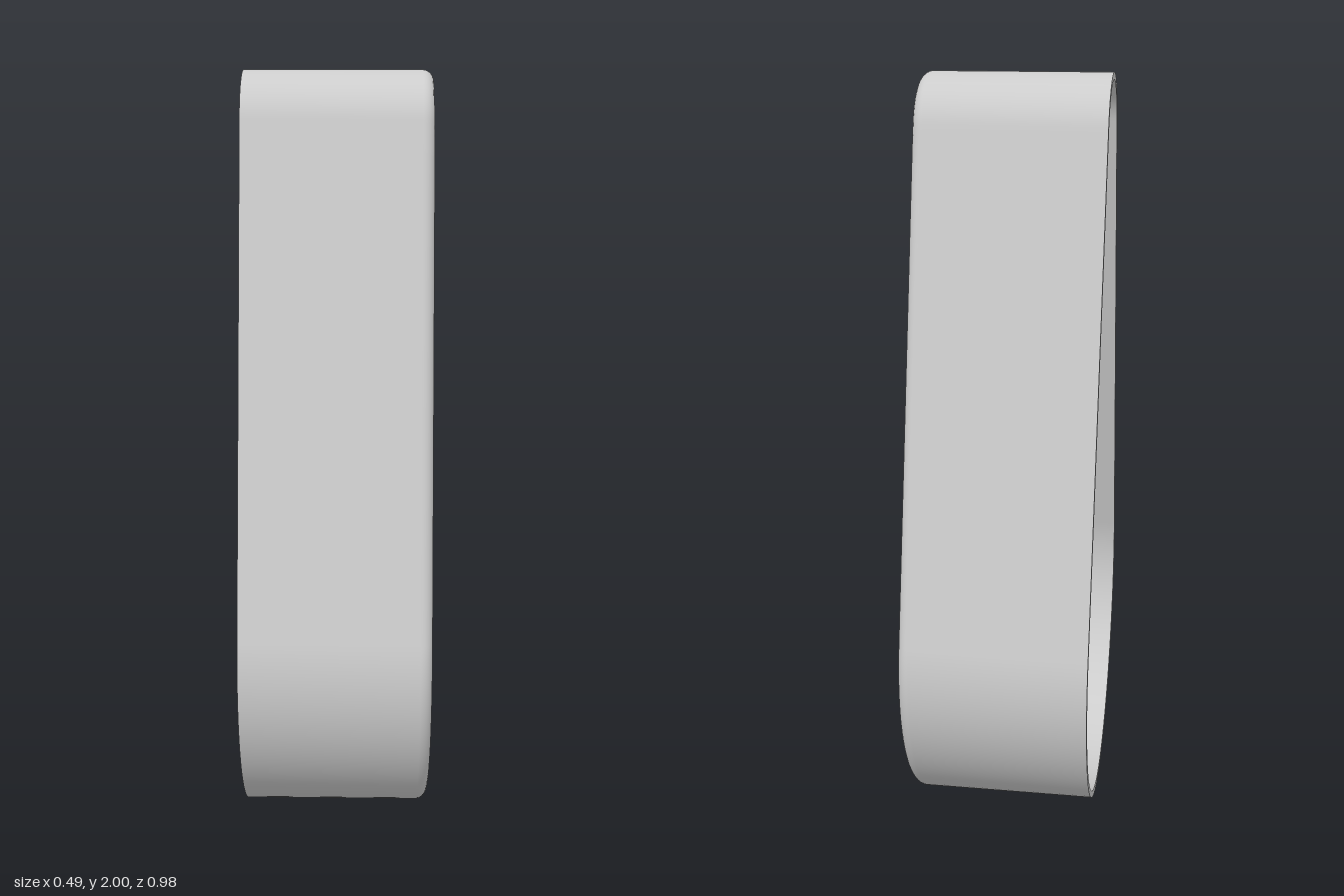
import * as THREE from 'three';

// Tapered link cover: plate on +x with two holes, skirt wall open towards -x.
const X = 0.244;                       // half depth
const R = 0.49, r = 0.16;              // big and small end radii
const C1 = 0.49, C2 = 1.84;            // heights of the end centres
const PHI = Math.asin((R - r) / (C2 - C1));
const FILLET = 0.03, WALL = 0.018, PLATE = 0.03, RIDGE = 0.145;
const HOLES = [
  { name: 'largeHole', y: C1, rad: 0.255, f: 0.022 },
  { name: 'smallHole', y: C2, rad: 0.13, f: 0.014 },
];

// Outline inset by d, counter-clockwise in (u = -z, v = y)
function outline(d) {
  const pts = [];
  const arc = (cy, rad, a0, a1, n) => {
    for (let i = 0; i <= n; i++) {
      const a = a0 + (a1 - a0) * i / n;
      pts.push(new THREE.Vector2(rad * Math.cos(a), cy + rad * Math.sin(a)));
    }
  };
  const side = (sign) => {             // points along the flank near the small end
    const a = sign > 0 ? PHI : Math.PI - PHI, list = [];
    for (let i = 1; i <= 7; i++) {
      const s = i * 0.0125;
      list.push(new THREE.Vector2(
        (r - d) * Math.cos(a) + sign * s * Math.sin(PHI),
        C2 + (r - d) * Math.sin(a) - s * Math.cos(PHI)));
    }
    return list;
  };
  arc(C2, r - d, PHI, Math.PI - PHI, 36);
  pts.push(...side(-1));
  arc(C1, R - d, Math.PI - PHI, 2 * Math.PI + PHI, 72);
  pts.push(...side(1).reverse());
  return pts;
}

function circle(y, rad, n = 64) {
  return Array.from({ length: n }, (_, i) => {
    const a = i / n * Math.PI * 2;
    return new THREE.Vector2(rad * Math.cos(a), y + rad * Math.sin(a));
  });
}

// Distance of a point from the outer outline
function edgeDistance(p) {
  const u = Math.abs(p.x);
  if (Math.atan2(p.y - C2, u) > PHI) return r - Math.hypot(u, p.y - C2);
  if (Math.atan2(p.y - C1, u) < PHI) return R - Math.hypot(u, p.y - C1);
  return R - u * Math.cos(PHI) - (p.y - C1) * Math.sin(PHI);
}

const drop = (d, f) => d >= f ? 0 : f - Math.sqrt(Math.max(0, f * f - (f - d) ** 2));

// Height of the plate's outer face, rounded at the rim and at the holes
function faceX(p) {
  const drops = HOLES.map((h) => drop(Math.max(0, Math.hypot(p.x, p.y - h.y) - h.rad), h.f));
  return X - Math.max(drop(Math.max(0, edgeDistance(p)), FILLET), ...drops);
}

// Keeps the rim rounding clear of the small hole
function clearOfHole(p) {
  const k = Math.hypot(p.x, p.y - C2);
  if (k < RIDGE) p.set(p.x * RIDGE / k, C2 + (p.y - C2) * RIDGE / k);
  return p;
}

const flatLoop = (pts, x) => pts.map((p) => [x, p.y, -p.x]);
const faceLoop = (pts) => pts.map((p) => [faceX(p), p.y, -p.x]);

// Surface through successive closed loops
function skin(loops) {
  const n = loops[0].length, index = [];
  for (let j = 0; j < loops.length - 1; j++) {
    for (let i = 0; i < n; i++) {
      const a = j * n + i, b = j * n + (i + 1) % n;
      index.push(a, b, b + n, a, b + n, a + n);
    }
  }
  const g = new THREE.BufferGeometry();
  g.setAttribute('position', new THREE.Float32BufferAttribute(loops.flat(2), 3));
  g.setIndex(index);
  g.computeVertexNormals();
  return g;
}

// Flat sheet with holes, facing +x, or -x when flipped
function sheet(outer, holes, xOf, flip) {
  const shape = new THREE.Shape(outer);
  shape.holes = holes.map((h) => new THREE.Path(h));
  const g = new THREE.ShapeGeometry(shape);
  const pos = g.attributes.position, nor = g.attributes.normal;
  for (let i = 0; i < pos.count; i++) {
    const p = new THREE.Vector2(pos.getX(i), pos.getY(i));
    pos.setXYZ(i, xOf(p), p.y, -p.x);
    nor.setXYZ(i, flip ? -1 : 1, 0, 0);
  }
  if (flip) g.index.array.reverse();
  return g;
}

export function createModel() {
  const model = new THREE.Group();
  model.name = 'linkCover';
  const material = new THREE.MeshStandardMaterial({ color: 0xcccccc });
  const add = (name, geometry) => {
    const mesh = new THREE.Mesh(geometry, material);
    mesh.name = name;
    model.add(mesh);
  };
  const STEPS = 10;
  const inset = (i, f) => f * (1 - Math.cos(i / STEPS * Math.PI / 2));

  // Outer wall with rounded rim
  const wall = [flatLoop(outline(0), -X), flatLoop(outline(0), X - FILLET)];
  for (let i = 1; i <= STEPS; i++) {
    wall.push(faceLoop(outline(inset(i, FILLET)).map(clearOfHole)));
  }
  add('outerWall', skin(wall));

  // Plate, outside and inside
  add('plateFace', sheet(outline(FILLET).map(clearOfHole),
    HOLES.map((h) => circle(h.y, h.rad + h.f)), faceX, false));
  add('plateInside', sheet(outline(WALL),
    HOLES.map((h) => circle(h.y, h.rad)), () => X - PLATE, true));

  // Rounded hole edges
  for (const h of HOLES) {
    const loops = [];
    for (let i = STEPS; i >= 0; i--) loops.push(faceLoop(circle(h.y, h.rad + inset(i, h.f))));
    loops.push(flatLoop(circle(h.y, h.rad), X - PLATE));
    add(h.name, skin(loops));
  }

  // Inner wall and the thin open rim
  add('innerWall', skin([flatLoop(outline(WALL), X - PLATE), flatLoop(outline(WALL), -X)]));
  add('openRim', skin([flatLoop(outline(WALL), -X), flatLoop(outline(0), -X)]));
  return model;
}
